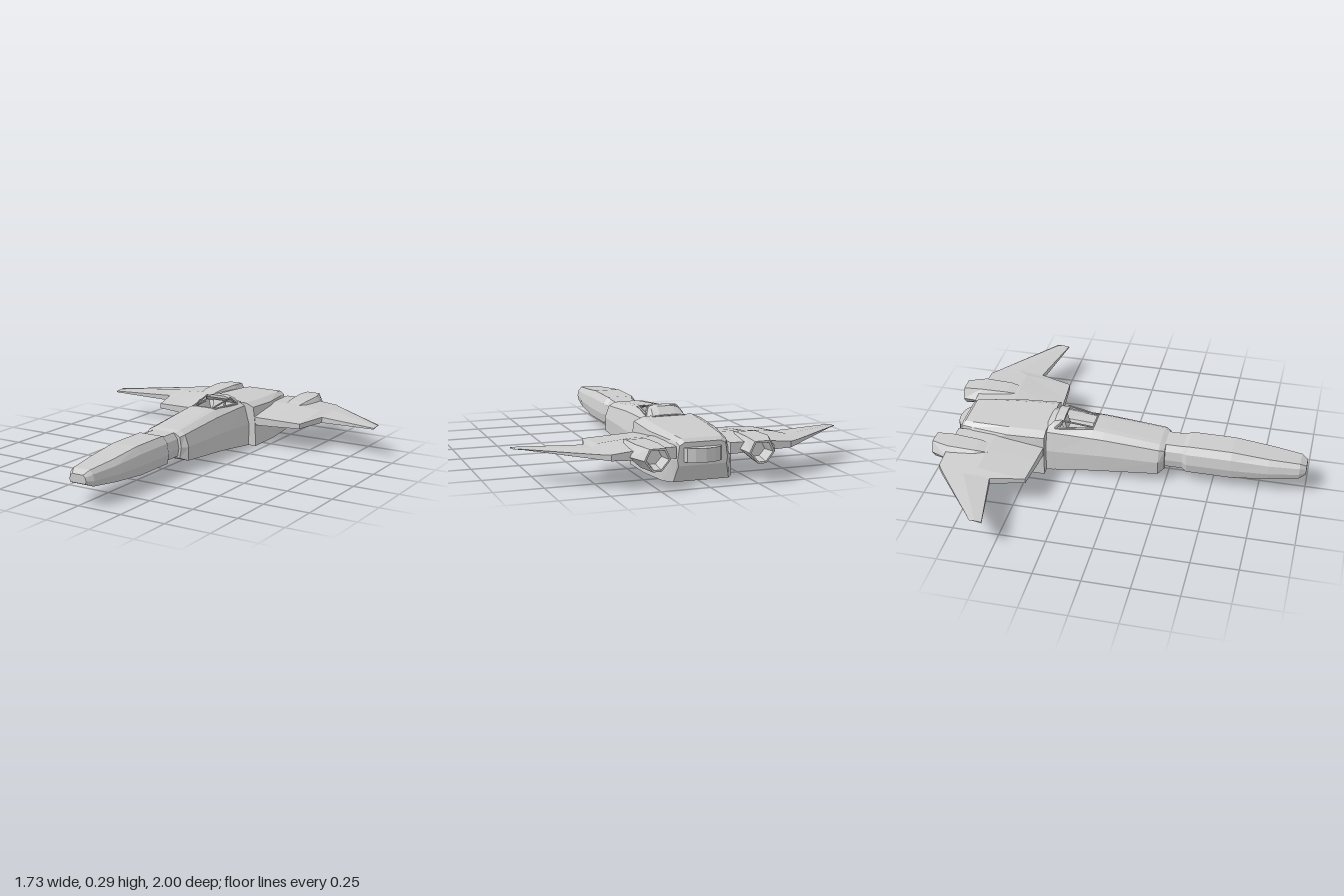
import * as THREE from 'three';

const material = new THREE.MeshStandardMaterial({ color: 0xcccccc, flatShading: true });

// Closed skin through rings of equal point count, capped at both ends and wound outward.
function loft(name, rings) {
  const n = rings[0].length, tris = [];
  for (let i = 0; i < rings.length - 1; i++) {
    for (let j = 0; j < n; j++) {
      const k = (j + 1) % n;
      const [a, b, c, d] = [rings[i][j], rings[i][k], rings[i + 1][k], rings[i + 1][j]];
      tris.push([a, b, c], [a, c, d]);
    }
  }
  const cap = (ring, flip) => {
    const mid = [0, 1, 2].map(q => ring.reduce((s, p) => s + p[q], 0) / n);
    ring.forEach((p, j) => {
      const next = ring[(j + 1) % n];
      tris.push(flip ? [mid, next, p] : [mid, p, next]);
    });
  };
  cap(rings[0], true);
  cap(rings[rings.length - 1], false);
  const volume = tris.reduce((s, [a, b, c]) => s +
    new THREE.Vector3(...a).dot(new THREE.Vector3(...b).cross(new THREE.Vector3(...c))), 0);
  if (volume < 0) tris.forEach(t => t.reverse());
  const geometry = new THREE.BufferGeometry();
  geometry.setAttribute('position', new THREE.Float32BufferAttribute(tris.flat(2), 3));
  geometry.computeVertexNormals();
  const mesh = new THREE.Mesh(geometry, material);
  mesh.name = name;
  return mesh;
}

// Symmetric cross-section from its +x half, listed bottom to top.
const section = (z, half) => [
  ...half.map(([x, y]) => [x, y, z]),
  ...half.slice().reverse().map(([x, y]) => [-x, y, z]),
];

// Six-sided bar between two points.
function bar(name, from, to, radius) {
  const a = new THREE.Vector3(...from), b = new THREE.Vector3(...to);
  const mesh = new THREE.Mesh(new THREE.CylinderGeometry(radius, radius, a.distanceTo(b), 6), material);
  mesh.position.copy(a).add(b).multiplyScalar(0.5);
  mesh.quaternion.setFromUnitVectors(new THREE.Vector3(0, 1, 0), b.sub(a).normalize());
  mesh.name = name;
  return mesh;
}

export function createModel() {
  const model = new THREE.Group();
  model.name = 'starfighter';

  // Long nose with a narrow neck: z, half width, bottom, top
  model.add(loft('nose', [
    [1.0, 0.05, 0.115, 0.16], [0.965, 0.075, 0.1, 0.18], [0.8, 0.1, 0.085, 0.195],
    [0.6, 0.11, 0.07, 0.215], [0.36, 0.11, 0.07, 0.215], [0.335, 0.095, 0.08, 0.205],
    [0.2, 0.095, 0.08, 0.205],
  ].map(([z, w, y0, y1]) => section(z, [
    [w * 0.92, y0], [w, y0 + (y1 - y0) * 0.35], [w * 0.9, y0 + (y1 - y0) * 0.75], [w * 0.65, y1],
  ]))));

  // Cockpit fuselage, with the cockpit tub sunk into its top
  model.add(loft('fuselage', [
    section(0.24, [[0.1, 0.07], [0.11, 0.13], [0.1, 0.185], [0.07, 0.203], [0.05, 0.203]]),
    section(0.21, [[0.135, 0.055], [0.138, 0.13], [0.115, 0.195], [0.08, 0.213], [0.05, 0.215]]),
    section(-0.1, [[0.15, 0.035], [0.152, 0.135], [0.122, 0.22], [0.08, 0.245], [0.05, 0.25]]),
    section(-0.16, [[0.151, 0.029], [0.153, 0.133], [0.123, 0.222], [0.08, 0.25], [0.055, 0.255]]),
    section(-0.18, [[0.151, 0.027], [0.153, 0.132], [0.123, 0.223], [0.08, 0.25], [0.055, 0.2]]),
    section(-0.36, [[0.154, 0.006], [0.155, 0.126], [0.125, 0.228], [0.09, 0.245], [0.07, 0.2]]),
    section(-0.375, [[0.155, 0.004], [0.155, 0.126], [0.125, 0.228], [0.09, 0.245], [0.07, 0.248]]),
    section(-0.43, [[0.155, 0], [0.155, 0.125], [0.125, 0.228], [0.09, 0.245], [0.07, 0.248]]),
  ]));

  // Boxy engine hull
  model.add(loft('engineHull', [
    section(-0.41, [[0.2, 0], [0.195, 0.13], [0.182, 0.225], [0.135, 0.245]]),
    section(-0.62, [[0.2, 0.002], [0.192, 0.13], [0.177, 0.215], [0.13, 0.236]]),
    section(-0.83, [[0.18, 0.008], [0.18, 0.13], [0.142, 0.208], [0.115, 0.227]]),
    section(-0.88, [[0.145, 0.01], [0.15, 0.12], [0.13, 0.205], [0.105, 0.222]]),
    section(-0.9, [[0.125, 0.09], [0.13, 0.12], [0.12, 0.19], [0.095, 0.205]]),
  ]));

  // Rounded tail block under the engine cover
  const tail = new THREE.Mesh(new THREE.CylinderGeometry(0.1, 0.1, 0.07, 12), material);
  tail.scale.z = 0.5;
  tail.position.set(0, 0.145, -0.895);
  tail.name = 'tailBlock';
  model.add(tail);

  // Canopy frame: roll hoop, struts and seat
  model.add(loft('rollHoop', [
    section(-0.325, [[0.082, 0.275], [0.065, 0.283], [0.035, 0.29]]),
    section(-0.375, [[0.098, 0.245], [0.075, 0.277], [0.04, 0.288]]),
    section(-0.42, [[0.1, 0.235], [0.08, 0.243], [0.045, 0.25]]),
  ]));
  model.add(bar('windscreenSill', [-0.06, 0.252, -0.165], [0.06, 0.252, -0.165], 0.006));
  const seat = new THREE.Mesh(new THREE.BoxGeometry(0.07, 0.065, 0.02), material);
  seat.position.set(0, 0.228, -0.335);
  seat.rotation.x = -0.25;
  seat.name = 'seat';
  model.add(seat);

  for (const s of [1, -1]) {
    const side = s > 0 ? 'left' : 'right';
    model.add(bar(side + 'CanopyStrut', [s * 0.06, 0.255, -0.16], [s * 0.075, 0.283, -0.335], 0.005));
    model.add(bar(side + 'CockpitRail', [s * 0.068, 0.25, -0.16], [s * 0.098, 0.245, -0.37], 0.007));
    model.add(bar(side + 'HoopLeg', [s * 0.08, 0.278, -0.332], [s * 0.1, 0.245, -0.365], 0.006));

    // Wing stations: x, front z, back z, bottom y, front top, crest top, back top
    model.add(loft(side + 'Wing', [
      [0.14, -0.41, -0.91, 0.122, 0.17, 0.2, 0.19],
      [0.3, -0.421, -0.91, 0.125, 0.165, 0.2, 0.19],
      [0.465, -0.435, -0.91, 0.132, 0.16, 0.187, 0.175],
      [0.515, -0.615, -0.875, 0.136, 0.168, 0.18, 0.172],
      [0.865, -0.545, -0.61, 0.16, 0.167, 0.17, 0.168],
    ].map(([x, zf, zb, y0, yf, yc, yb]) => [
      [s * x, y0, zf], [s * x, yf, zf], [s * x, yc, zf + (zb - zf) * 0.55],
      [s * x, yb, zb], [s * x, y0 + 0.012, zb],
    ])));

    // Engine nacelle with a hollow nozzle: z, centre x, half width, bottom, top
    model.add(loft(side + 'Nacelle', [
      [-0.56, 0.29, 0.035, 0.133, 0.178], [-0.75, 0.29, 0.085, 0.117, 0.207],
      [-0.9, 0.285, 0.095, 0.1, 0.213], [-1.0, 0.268, 0.067, 0.097, 0.208],
      [-1.0, 0.268, 0.057, 0.106, 0.199], [-0.93, 0.268, 0.045, 0.12, 0.187],
    ].map(([z, cx, w, y0, y1]) => [
      [-0.3, y0], [0.35, y0], [1, 0.5 * (y0 + y1)], [0.6, y1], [-0.6, y1], [-1, 0.5 * (y0 + y1)],
    ].map(([u, y]) => [s * (cx + u * w), y, z]))));
  }
  return model;
}
